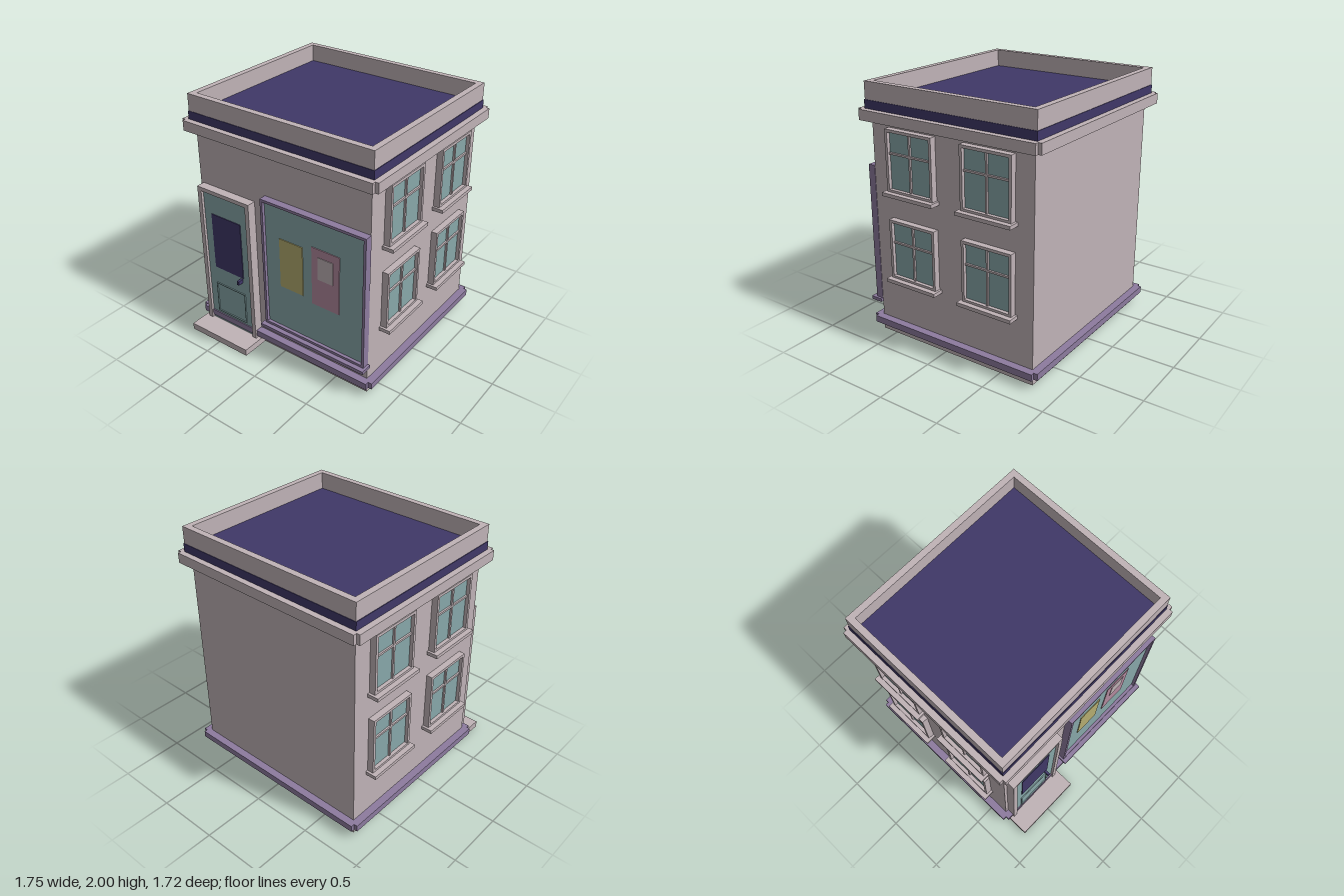
import * as THREE from 'three';

const mat = (name, color) => {
  const m = new THREE.MeshStandardMaterial({ color });
  m.name = name;
  return m;
};

export function createModel() {
  const stone = mat('stone', 0xc0b3b7);
  const teal = mat('teal', 0x88a8aa);
  const indigo = mat('indigo', 0x403868);
  const lilac = mat('lilac', 0x8d7b9f);
  const yellow = mat('yellow', 0xb5ad70);
  const pink = mat('pink', 0xb38a9f);

  const model = new THREE.Group();
  model.name = 'cornerShop';
  const ZC = -0.074; // centre of the building in depth

  // Box given by its limits on each axis
  function box(name, m, x0, x1, y0, y1, z0, z1, parent = model) {
    const mesh = new THREE.Mesh(new THREE.BoxGeometry(x1 - x0, y1 - y0, z1 - z0), m);
    mesh.position.set((x0 + x1) / 2, (y0 + y1) / 2, (z0 + z1) / 2);
    mesh.name = name;
    parent.add(mesh);
    return mesh;
  }

  // Rectangular frame in the xy plane with border t, from z0 to z1
  function frame(name, m, x0, x1, y0, y1, t, z0, z1, parent = model) {
    const rect = (Type, a, b, c, d) => new Type([
      new THREE.Vector2(a, c), new THREE.Vector2(b, c),
      new THREE.Vector2(b, d), new THREE.Vector2(a, d)]);
    const shape = rect(THREE.Shape, x0, x1, y0, y1);
    shape.holes.push(rect(THREE.Path, x0 + t, x1 - t, y0 + t, y1 - t));
    const geo = new THREE.ExtrudeGeometry(shape, { depth: z1 - z0, bevelEnabled: false });
    const mesh = new THREE.Mesh(geo, m);
    mesh.position.z = z0;
    mesh.name = name;
    parent.add(mesh);
    return mesh;
  }

  // Moulding round the building: two crossed slabs leave notched corners
  function moulding(name, m, outX, outZ, notch, y0, y1) {
    const g = new THREE.Group();
    g.name = name;
    box(name + 'Sides', m, -outX, outX, y0, y1, ZC - outZ + notch, ZC + outZ - notch, g);
    box(name + 'FrontBack', m, -outX + notch, outX - notch, y0, y1, ZC - outZ, ZC + outZ, g);
    model.add(g);
  }

  // Walls, with a lilac underside
  const walls = box('walls', stone, -0.783, 0.783, 0, 1.76, ZC - 0.704, ZC + 0.704);
  walls.material = [stone, stone, stone, lilac, stone, stone];

  moulding('baseTrim', lilac, 0.843, 0.763, 0.03, 0.075, 0.128);
  moulding('cornice', stone, 0.864, 0.784, 0.028, 1.72, 1.8);

  // Flat roof slab, whose edge shows as a band, and the parapet on it
  box('roofSlab', indigo, -0.818, 0.818, 1.8, 1.865, ZC - 0.739, ZC + 0.739);
  const parapet = frame('parapet', stone, -0.813, 0.813, -0.735, 0.735, 0.049, 0, 0.135);
  parapet.rotation.x = -Math.PI / 2;
  parapet.position.set(0, 1.865, ZC);

  // Door with its step
  const door = new THREE.Group();
  door.name = 'door';
  model.add(door);
  box('doorStep', stone, -0.79, -0.21, 0, 0.055, 0.62, 0.86, door);
  box('doorPanel', teal, -0.725, -0.275, 0.055, 1.25, 0.62, 0.68, door);
  box('doorPostOuter', stone, -0.757, -0.72, 0.055, 1.28, 0.62, 0.702, door);
  box('doorPostInner', stone, -0.28, -0.243, 0.055, 1.28, 0.62, 0.702, door);
  box('doorLintel', stone, -0.72, -0.28, 1.248, 1.28, 0.62, 0.702, door);
  box('doorWindow', indigo, -0.647, -0.355, 0.58, 1.065, 0.679, 0.686, door);
  frame('doorLowerPanel', teal, -0.652, -0.348, 0.15, 0.427, 0.008, 0.679, 0.688, door);
  box('doorHandle', indigo, -0.385, -0.365, 0.535, 0.568, 0.679, 0.728, door);

  // Shop window with posters
  const shop = new THREE.Group();
  shop.name = 'shopWindow';
  model.add(shop);
  box('shopGlass', teal, -0.125, 0.775, 0.275, 1.35, 0.625, 0.665, shop);
  frame('shopFrame', lilac, -0.138, 0.787, 0.266, 1.365, 0.021, 0.63, 0.69, shop);
  box('shopSill', lilac, -0.155, 0.806, 0.24, 0.267, 0.63, 0.727, shop);
  box('yellowPoster', yellow, 0.015, 0.228, 0.66, 1.077, 0.664, 0.671, shop);
  box('pinkPoster', pink, 0.311, 0.555, 0.63, 1.118, 0.664, 0.671, shop);
  box('posterPicture', stone, 0.367, 0.5, 0.865, 1.052, 0.67, 0.675, shop);

  // Side windows, built facing +z about the sill top, then turned outward
  for (const side of [-1, 1]) {
    for (const z of [0.257, -0.415]) {
      for (const y of [0.513, 1.208]) {
        const w = new THREE.Group();
        w.name = side > 0 ? 'leftWindow' : 'rightWindow';
        box('glass', teal, -0.2, 0.2, 0.01, 0.46, -0.01, 0.022, w);
        frame('windowFrame', stone, -0.213, 0.213, -0.002, 0.474, 0.022, -0.005, 0.05, w);
        box('mullion', stone, -0.008, 0.008, 0.015, 0.455, 0.015, 0.036, w);
        box('glazingBar', stone, -0.195, 0.195, 0.284, 0.299, 0.015, 0.036, w);
        box('windowSill', stone, -0.232, 0.232, -0.026, 0.002, -0.005, 0.09, w);
        w.position.set(side * 0.783, y, z);
        w.rotation.y = side * Math.PI / 2;
        model.add(w);
      }
    }
  }

  return model;
}
